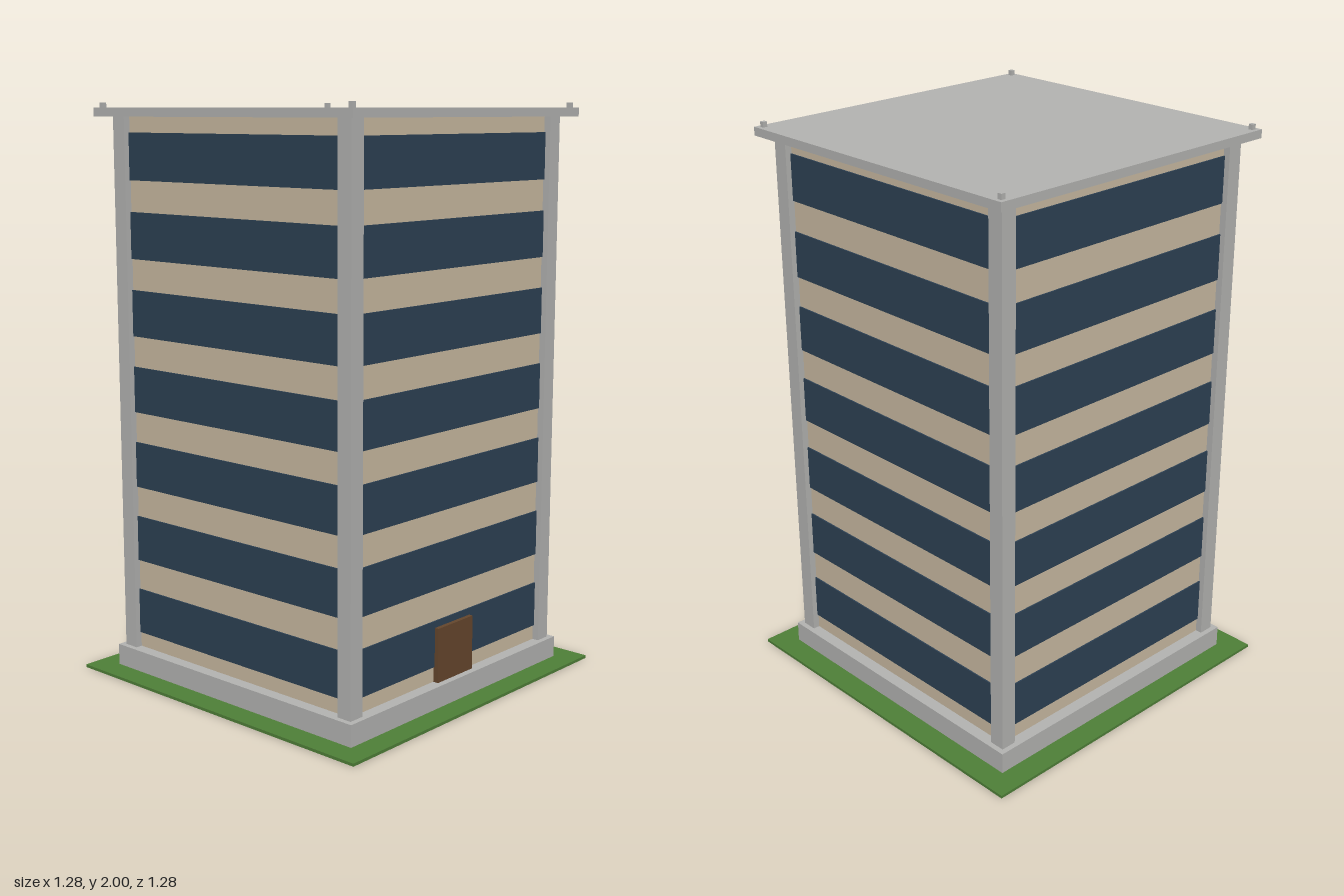
import * as THREE from 'three';

const mat = (name, color) => {
  const m = new THREE.MeshStandardMaterial({ color });
  m.name = name;
  return m;
};

export function createModel() {
  const concrete = mat('concrete', 0xb4b4b2);
  const sandstone = mat('sandstone', 0xcabba2);
  const glass = mat('dark blue glass', 0x2d4154);
  const grass = mat('grass', 0x4f8038);
  const wood = mat('brown wood', 0x66472d);

  const model = new THREE.Group();
  model.name = 'officeTower';

  // Box spanning y0..y1, centred on x and z
  const box = (name, material, w, y0, y1, d, x = 0, z = 0, parent = model) => {
    const mesh = new THREE.Mesh(new THREE.BoxGeometry(w, y1 - y0, d), material);
    mesh.position.set(x, (y0 + y1) / 2, z);
    mesh.name = name;
    parent.add(mesh);
    return mesh;
  };

  // Ground, plinth, wall core and roof slab
  box('lawn', grass, 1.284, 0, 0.01, 1.284);
  box('plinth', concrete, 1.116, 0.01, 0.085, 1.116);
  box('walls', sandstone, 1.03, 0.085, 1.953, 1.03);
  box('roofSlab', concrete, 1.17, 1.953, 1.982, 1.17);

  // Seven window bands running round the walls
  const windows = new THREE.Group();
  windows.name = 'windowBands';
  model.add(windows);
  for (let floor = 0; floor < 7; floor++) {
    const y = 0.138 + floor * 0.267;
    box('windowBand', glass, 1.04, y, y + 0.16, 1.04, 0, 0, windows);
  }

  // Corner pillars and small roof posts
  for (const sx of [-1, 1]) {
    for (const sz of [-1, 1]) {
      box('cornerPillar', concrete, 0.056, 0.085, 1.953, 0.056, sx * 0.511, sz * 0.511);
      box('roofPost', concrete, 0.016, 1.982, 2, 0.016, sx * 0.562, sz * 0.562);
    }
  }

  // Front entrance
  box('frontDoor', wood, 0.187, 0.085, 0.275, 0.02, 0, 0.525);

  return model;
}
